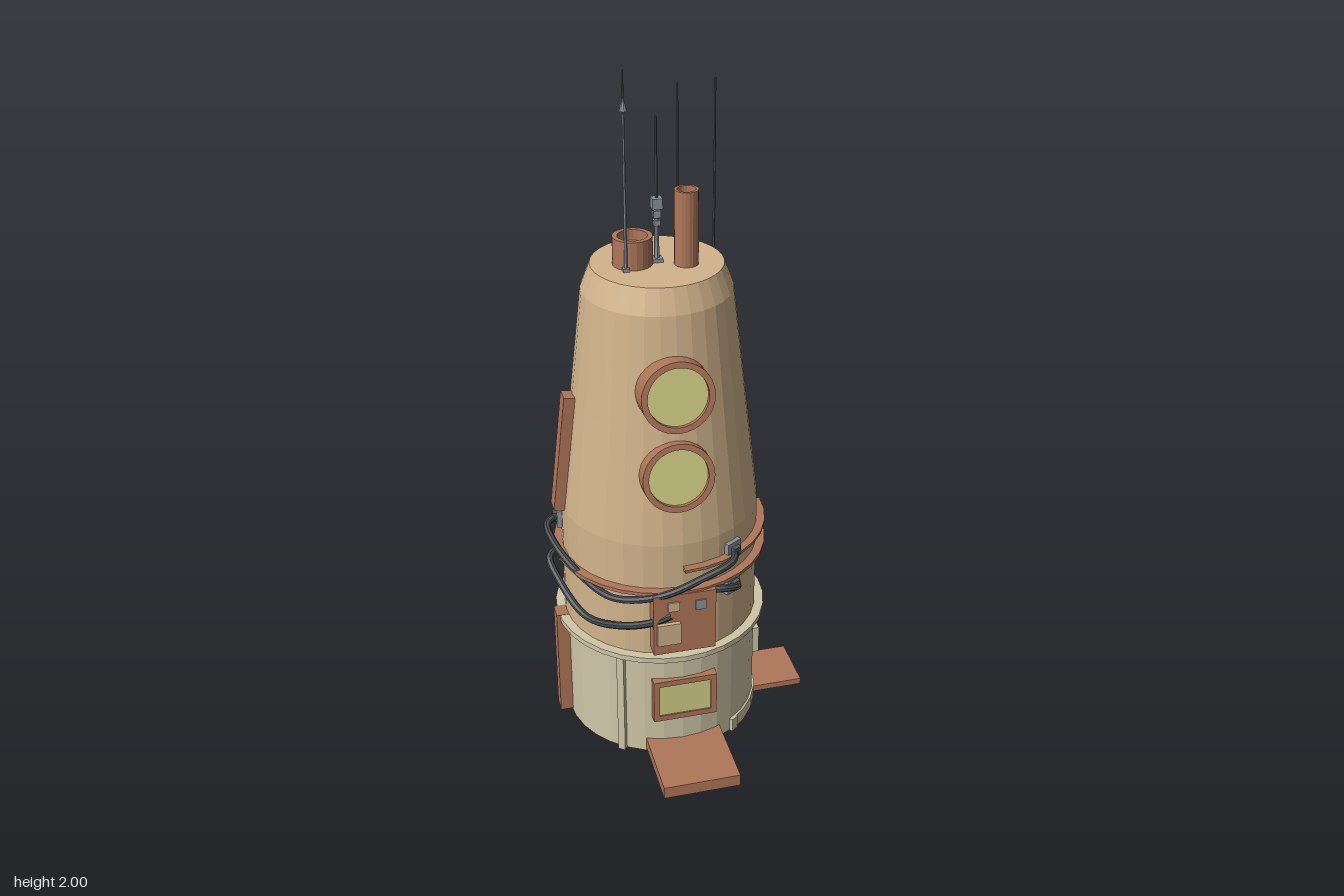
import * as THREE from 'three';

const CX = -0.05, CZ = -0.08; // tower axis
const TILT = 0.116; // slope of the upper wall

export function createModel() {
  const model = new THREE.Group();
  const mat = (name, color) => {
    const m = new THREE.MeshStandardMaterial({ color, flatShading: true, side: THREE.DoubleSide });
    m.name = name;
    return m;
  };
  const tan = mat('tan wall', 0xd2b48c);
  const stone = mat('pale stone', 0xd0c7a8);
  const copper = mat('copper', 0xb0775a);
  const glass = mat('yellow glass', 0xd4d088);
  const cableMat = mat('dark cable', 0x43474a);
  const steel = mat('steel', 0x8d949b);
  const dark = mat('dark metal', 0x55595d);

  const add = (name, geo, m, x = 0, y = 0, z = 0, parent = model) => {
    const mesh = new THREE.Mesh(geo, m);
    mesh.name = name;
    mesh.position.set(x, y, z);
    parent.add(mesh);
    return mesh;
  };
  // box given by its extents
  const box = (name, m, x0, x1, y0, y1, z0, z1) =>
    add(name, new THREE.BoxGeometry(x1 - x0, y1 - y0, z1 - z0), m, (x0 + x1) / 2, (y0 + y1) / 2, (z0 + z1) / 2);
  const lathe = (pts, seg = 32, start = 0, len = Math.PI * 2) =>
    new THREE.LatheGeometry(pts.map(p => new THREE.Vector2(p[0], p[1])), seg, start, len);
  // rectangular section swept around an axis; angles in degrees from the front
  const band = (ri, ro, y0, y1, a0 = 0, a1 = 360) => lathe(
    [[ri, y0], [ro, y0], [ro, y1], [ri, y1], [ri, y0]],
    Math.max(4, Math.round((a1 - a0) / 11.25)), a0 * Math.PI / 180, (a1 - a0) * Math.PI / 180);
  const ring = (name, m, ...args) => add(name, band(...args), m, CX, 0, CZ);
  // box standing on the wall at an angle
  const wallBox = (name, m, deg, r, y, w, h, d) => {
    const a = deg * Math.PI / 180;
    const b = add(name, new THREE.BoxGeometry(w, h, d), m, CX + r * Math.sin(a), y, CZ + r * Math.cos(a));
    b.rotation.y = a;
    return b;
  };
  const tube = (name, pts, r, m, seg = 40) => add(name, new THREE.TubeGeometry(
    new THREE.CatmullRomCurve3(pts.map(p => new THREE.Vector3(...p))), seg, r, 8), m);

  // Main walls
  add('base', new THREE.CylinderGeometry(0.288, 0.288, 0.355, 32), stone, CX, 0.1775, CZ);
  add('tower', lathe([[0, 0.355], [0.288, 0.355], [0.288, 0.73], [0.247, 1.07], [0.21, 1.39], [0.183, 1.46], [0, 1.46]]), tan, CX, 0, CZ);

  // Base trim
  ring('baseLip', stone, 0.28, 0.315, 0.347, 0.364, -148, 148);
  ring('doorLip', stone, 0.28, 0.304, 0.347, 0.364, 148, 212);
  ring('skirting', stone, 0.28, 0.294, 0, 0.042, 36, 80);
  ring('doorThreshold', stone, 0.2, 0.329, 0, 0.014, 159.5, 200.5);
  for (const a of [-36, 145, 215]) wallBox('pilaster', stone, a, 0.288, 0.175, 0.022, 0.35, 0.03);
  wallBox('skirtingBlock', stone, 36, 0.288, 0.022, 0.025, 0.044, 0.02);

  // Back door
  for (const s of [-1, 1]) box('doorPost', stone, CX + s * 0.06 - 0.012, CX + s * 0.06 + 0.012, 0.01, 0.28, -0.381, -0.33);
  box('door', stone, CX - 0.05, CX + 0.05, 0.01, 0.28, -0.371, -0.34);
  const lintel = new THREE.Shape([[-0.068, 0.27], [0.068, 0.27], [0.085, 0.335], [-0.085, 0.335]].map(p => new THREE.Vector2(...p)));
  add('doorLintel', new THREE.ExtrudeGeometry(lintel, { depth: 0.05, bevelEnabled: false }), stone, CX, 0, -0.389);

  // Steps
  box('frontStep', copper, -0.157, 0.07, 0.008, 0.046, 0.16, 0.41);
  box('sideStep', copper, 0.2, 0.385, 0.006, 0.026, -0.165, -0.007 + 0.015);

  // Rectangular windows: frame of four bars around a pane
  const windowAt = (name, frame, pane, w, h, t, x, y, z, ry, d) => {
    const g = new THREE.Group();
    g.name = name;
    g.position.set(x, y, z);
    g.rotation.y = ry;
    for (const s of [-1, 1]) {
      add('frameRail', new THREE.BoxGeometry(w, t, d), frame, 0, s * (h - t) / 2, 0, g);
      add('frameStile', new THREE.BoxGeometry(t, h - 2 * t, d), frame, s * (w - t) / 2, 0, 0, g);
    }
    add('pane', new THREE.BoxGeometry(w - 2 * t, h - 2 * t, 0.008), pane, 0, 0, d / 2 - 0.008, g);
    model.add(g);
  };
  windowAt('frontWindow', copper, glass, 0.19, 0.142, 0.018, -0.045, 0.2, 0.2, 0, 0.038);
  windowAt('sideWindow', stone, stone, 0.145, 0.09, 0.012, 0.236, 0.19, -0.085, Math.PI / 2, 0.026);

  // Round windows
  for (const [y, z, d] of [[1.18, 0.155, 0.045], [0.94, 0.183, 0.022]]) {
    const g = new THREE.Group();
    g.name = 'roundWindow';
    g.position.set(-0.06, y, z);
    g.rotation.x = -TILT;
    add('rim', band(0.084, 0.101, -0.05, d).rotateX(Math.PI / 2), copper, 0, 0, 0, g);
    add('pane', new THREE.CircleGeometry(0.085, 32), glass, 0, 0, d - 0.012, g);
    model.add(g);
  }

  // Hoops
  ring('hoop', copper, 0.28, 0.313, 0.579, 0.59);
  ring('partialHoop', copper, 0.28, 0.312, 0.65, 0.659, 0, 92);

  // Copper strips on the right side
  const strip = box('upperStrip', copper, -0.345, -0.303, 0.73, 1.09, -0.1, -0.05);
  strip.rotation.z = -TILT;
  box('lowerStrip', copper, -0.373, -0.325, 0.008, 0.365, -0.1, -0.05);

  // Control box
  box('controlBox', copper, -0.142, 0.04, 0.385, 0.583, 0.15, 0.234);
  box('controlPlate', tan, -0.133, -0.065, 0.422, 0.492, 0.23, 0.246);
  box('smallPlate', tan, -0.1, -0.066, 0.53, 0.56, 0.23, 0.238);
  box('greyPlate', steel, -0.02, 0.01, 0.525, 0.557, 0.23, 0.238);

  // Cable clamps
  for (const a of [32, 260]) for (const y of [0.665, 0.55]) {
    wallBox('clampPlate', steel, a, 0.292, y, 0.052, 0.055, 0.016);
    wallBox('clampSocket', dark, a, 0.302, y, 0.026, 0.028, 0.022);
  }

  // Cables
  tube('upperCable', [[0.11, 0.662, 0.17], [0.095, 0.655, 0.21], [0, 0.622, 0.229], [-0.12, 0.58, 0.225],
    [-0.24, 0.555, 0.165], [-0.31, 0.575, 0.07], [-0.368, 0.625, -0.04], [-0.378, 0.655, -0.11], [-0.34, 0.667, -0.135]], 0.011, cableMat, 64);
  tube('lowerCable', [[-0.09, 0.515, 0.235], [-0.14, 0.49, 0.22], [-0.22, 0.462, 0.175], [-0.305, 0.437, 0.07],
    [-0.36, 0.495, -0.04], [-0.376, 0.54, -0.11], [-0.34, 0.552, -0.135]], 0.011, cableMat, 64);
  tube('shortCable', [[0.115, 0.55, 0.175], [0.11, 0.562, 0.205], [0.07, 0.572, 0.22], [0.03, 0.572, 0.215]], 0.011, cableMat, 20);

  // Chimneys with sunken caps
  for (const [x, z, r, ri, top] of [[-0.117, -0.08, 0.055, 0.041, 1.54], [0.023, -0.044, 0.033, 0.025, 1.67]])
    add('chimney', lathe([[r, 1.45], [r, top], [ri, top], [ri, top - 0.03], [0, top - 0.03]], 20), copper, x, 0, z);

  // Antennas
  const rod = (name, x, z, y0, y1, r, m = dark) =>
    add(name, new THREE.CylinderGeometry(r * 0.6, r, y1 - y0, 6), m, x, (y0 + y1) / 2, z);
  rod('tallAntenna', -0.146, -0.03, 1.46, 1.9, 0.005, steel);
  rod('tallAntennaTip', -0.146, -0.03, 1.88, 2, 0.003);
  add('antennaArrow', new THREE.ConeGeometry(0.011, 0.04, 8), steel, -0.146, 1.915, -0.03);
  rod('middleAntenna', -0.05, -0.08, 1.46, 1.86, 0.005);
  rod('middleMast', -0.05, -0.08, 1.46, 1.62, 0.008, steel);
  for (const [y, s, h] of [[1.625, 0.028, 0.03], [1.595, 0.02, 0.02], [1.57, 0.018, 0.015]])
    box('mastFitting', steel, -0.05 - s / 2, -0.05 + s / 2, y - h / 2, y + h / 2, -0.08 - s / 2, -0.08 + s / 2);
  rod('thinAntenna', 0.018, -0.122, 1.46, 1.93, 0.004);
  for (const [x, z, s] of [[-0.146, -0.03, 0.018], [-0.05, -0.08, 0.03], [0.018, -0.122, 0.013]])
    box('antennaFoot', steel, x - s / 2, x + s / 2, 1.455, 1.47, z - s / 2, z + s / 2);
  rod('sideAntenna', 0.146, -0.215, 1.39, 1.91, 0.004);
  tube('sideAntennaArm', [[0.1, 1.345, -0.2], [0.125, 1.35, -0.214], [0.144, 1.38, -0.215], [0.146, 1.43, -0.215]], 0.007, steel, 12);
  box('sideAntennaPlate', steel, 0.1, 0.118, 1.335, 1.375, -0.222, -0.195);

  return model;
}
